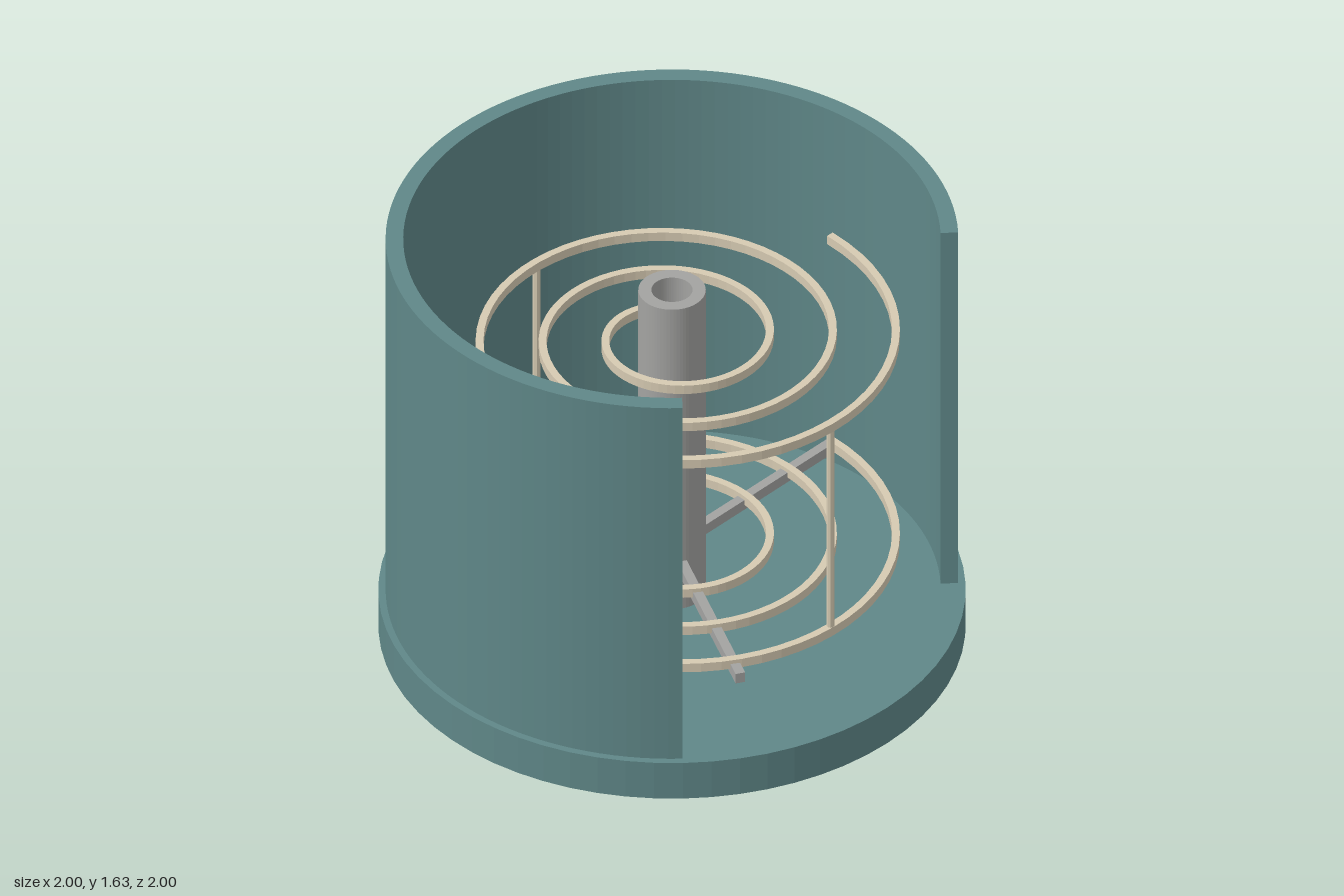
import * as THREE from 'three';

const flat = (name, color) => {
  const m = new THREE.MeshStandardMaterial({ color, flatShading: true });
  m.name = name;
  return m;
};

// Extrude a plan shape upward from y0 to y1 (shape +y becomes -z).
function extrudeUp(shape, y0, y1, curveSegments) {
  const g = new THREE.ExtrudeGeometry(shape, { depth: y1 - y0, bevelEnabled: false, curveSegments });
  return g.rotateX(-Math.PI / 2).translate(0, y0, 0);
}

// Spiral radius after a number of turns.
const spiralRadius = (turns) => 0.145 + 0.215 * turns;

// Flat ribbon spiral of three turns.
function spiralShape(halfWidth) {
  const steps = 192, outer = [], inner = [];
  for (let i = 0; i <= steps; i++) {
    const turns = (3 * i) / steps, a = turns * Math.PI * 2, r = spiralRadius(turns);
    const at = (d) => new THREE.Vector2((r + d) * Math.cos(a), (r + d) * Math.sin(a));
    outer.push(at(halfWidth));
    inner.push(at(-halfWidth));
  }
  return new THREE.Shape([...outer, ...inner.reverse()]);
}

export function createModel() {
  const model = new THREE.Group();
  const teal = flat('teal', 0x5f8788);
  const gray = flat('gray', 0xa3a3a1);
  const cream = flat('cream', 0xd6cab2);

  const add = (name, geometry, material) => {
    const mesh = new THREE.Mesh(geometry, material);
    mesh.name = name;
    model.add(mesh);
    return mesh;
  };

  // Round base plate
  add('base', new THREE.CylinderGeometry(1, 1, 0.15, 64).translate(0, 0.075, 0), teal);

  // Cylindrical housing, open over the front quarter
  const wall = new THREE.Shape();
  wall.absarc(0, 0, 0.975, -Math.PI / 4, Math.PI * 1.25, false);
  wall.absarc(0, 0, 0.915, Math.PI * 1.25, -Math.PI / 4, true);
  wall.closePath();
  add('housingWall', extrudeUp(wall, 0.15, 1.63, 48), teal);

  // Hollow central shaft
  const ring = new THREE.Shape().absarc(0, 0, 0.115, 0, Math.PI * 2, false);
  ring.holes.push(new THREE.Path().absarc(0, 0, 0.07, 0, Math.PI * 2, true));
  add('shaft', extrudeUp(ring, 0.15, 1.415, 32), gray);

  // Three radial support arms under the lower spiral
  for (let i = 0; i < 3; i++) {
    const arm = add('supportArm', new THREE.BoxGeometry(0.69, 0.04, 0.034).translate(0.445, 0.33, 0), gray);
    arm.rotation.y = (i * Math.PI * 2) / 3;
  }

  // Lower and upper spirals
  const spiral = spiralShape(0.0135);
  add('lowerSpiral', extrudeUp(spiral, 0.33, 0.365), cream);
  add('upperSpiral', extrudeUp(spiral, 1.19, 1.225), cream);

  // Upright rods joining the outer turns
  for (let i = 1; i <= 3; i++) {
    const rod = add('uprightRod', new THREE.CylinderGeometry(0.0135, 0.0135, 0.86, 8), cream);
    const a = (i * Math.PI) / 2, r = spiralRadius(2 + i / 4);
    rod.position.set(r * Math.cos(a), 0.7775, -r * Math.sin(a));
  }

  return model;
}
